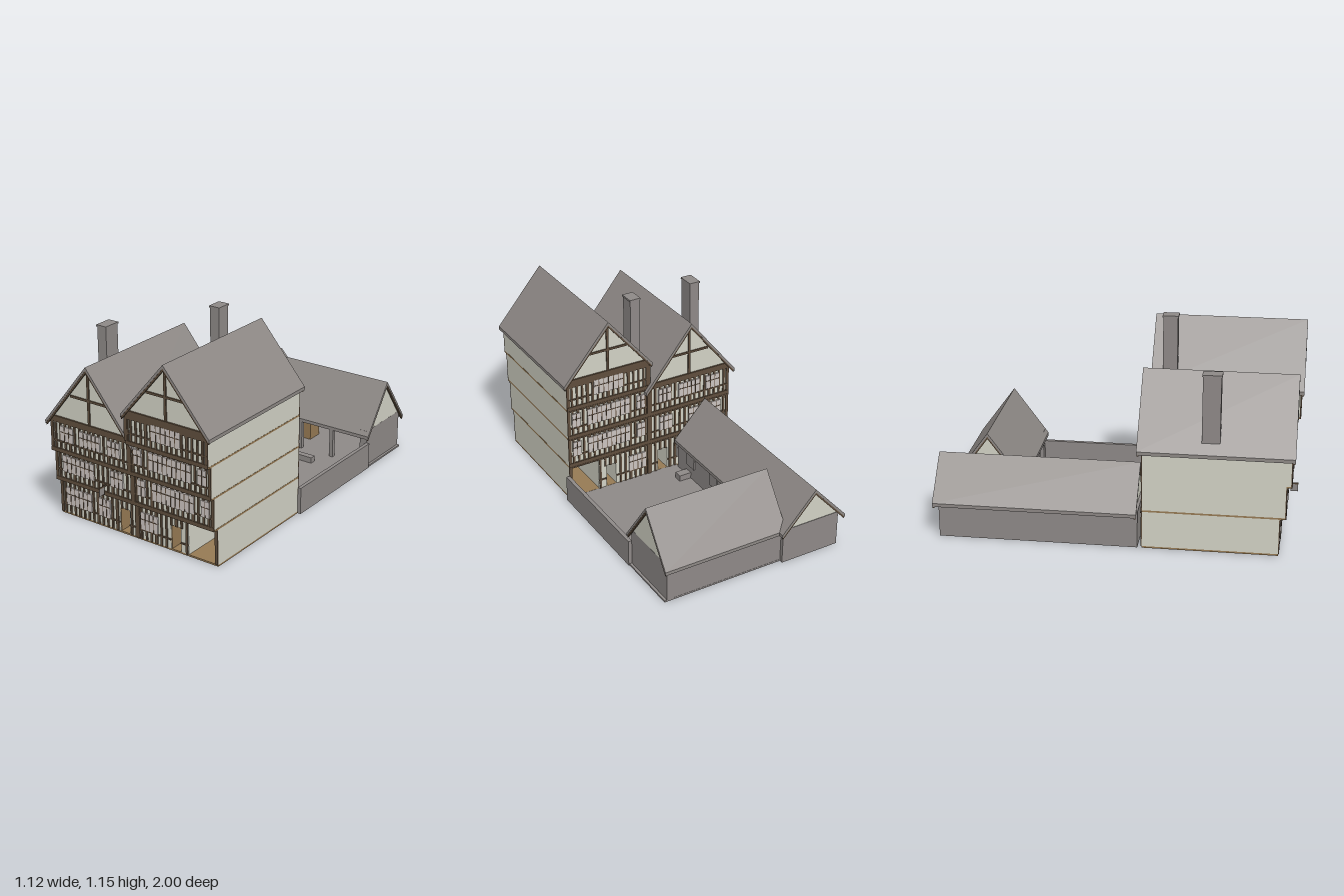
import * as THREE from 'three';

const mat = (name, color) => {
  const m = new THREE.MeshStandardMaterial({ color });
  m.name = name;
  return m;
};

export function createModel() {
  const plaster = mat('cream plaster', 0xd2d2c5);
  const stone = mat('grey stone', 0x8e8987);
  const tile = mat('grey roof tile', 0x8d8885);
  const beam = mat('dark timber', 0x5f4e3d);
  const wood = mat('brown wood', 0x967a54);
  const glass = mat('pale window', 0xcbc4c0);
  const model = new THREE.Group();

  const group = (name, parent = model) => {
    const g = new THREE.Group();
    g.name = name;
    parent.add(g);
    return g;
  };
  // Box given by its limits on each axis
  const box = (p, name, m, x0, x1, y0, y1, z0, z1) => {
    const mesh = new THREE.Mesh(new THREE.BoxGeometry(x1 - x0, y1 - y0, z1 - z0), m);
    mesh.position.set((x0 + x1) / 2, (y0 + y1) / 2, (z0 + z1) / 2);
    mesh.name = name;
    p.add(mesh);
  };
  const prism = (p, name, m, pts, z0, z1) => {
    const shape = new THREE.Shape(pts.map(([x, y]) => new THREE.Vector2(x, y)));
    const geo = new THREE.ExtrudeGeometry(shape, { depth: z1 - z0, bevelEnabled: false });
    const mesh = new THREE.Mesh(geo.translate(0, 0, z0), m);
    mesh.name = name;
    p.add(mesh);
  };
  const chevron = (p, name, m, x, half, ridge, eave, t, z0, z1) => prism(p, name, m, [
    [x - half, eave - t], [x, ridge - t], [x + half, eave - t],
    [x + half, eave], [x, ridge], [x - half, eave]], z0, z1);

  // Pitched roof with gable infill and dark bargeboards at both ends
  const roof = (p, x, half, ridge, eave, wallHalf, z0, z1, w0, w1) => {
    const t = 0.02, slope = (ridge - eave) / half;
    chevron(p, 'roof', tile, x, half, ridge, eave, t, z0, z1);
    for (const [a, b] of [[z0 + 0.002, z0 + 0.012], [z1 - 0.012, z1 - 0.002]])
      chevron(p, 'bargeboard', beam, x, half - 0.005, ridge - t, eave - t + 0.005 * slope, 0.014, a, b);
    const top = ridge - t, foot = top - slope * wallHalf;
    prism(p, 'gable', plaster, [[x - wallHalf, foot], [x + wallHalf, foot], [x, top]], w0, w1);
  };

  // ---------- Street houses ----------
  const houses = group('streetHouses');
  const BACK = 0.16;
  const fronts = [0.9, 0.93, 0.955, 0.98];
  const levels = [0.01, 0.225, 0.41, 0.595, 0.75];
  box(houses, 'base', wood, -0.535, 0.535, 0, 0.01, BACK, 0.9);

  // Ground floor with two through doorways and a cart passage
  for (const [a, b] of [[-0.535, -0.115], [-0.05, 0.23], [0.295, 0.345], [0.522, 0.535]])
    box(houses, 'groundFloorWall', plaster, a, b, 0.01, 0.215, BACK, 0.9);
  for (const [a, b, y] of [[-0.115, -0.05, 0.15], [0.23, 0.295, 0.15], [0.345, 0.522, 0.205]])
    box(houses, 'lintelWall', plaster, a, b, y, 0.215, BACK, 0.9);
  for (const [a, b] of [[-0.115, -0.05], [0.23, 0.295]]) {
    box(houses, 'frontDoorLeaf', wood, a, a + 0.004, 0.01, 0.149, 0.82, 0.898);
    box(houses, 'backDoorLeaf', wood, b - 0.004, b, 0.01, 0.149, BACK + 0.002, 0.24);
  }

  // Jettied upper floors with a brown sill under each
  for (let i = 1; i < 4; i++) {
    const x0 = i === 3 ? 0.01 : -0.535;
    box(houses, 'upperFloor', plaster, x0, 0.535, levels[i], levels[i + 1], BACK, fronts[i]);
    box(houses, 'jettySill', wood, x0, 0.536, levels[i] - 0.01, levels[i], BACK, fronts[i] + 0.002);
  }
  roof(houses, -0.26, 0.3, 0.945, 0.575, 0.272, 0.13, 0.975, BACK, 0.955);
  roof(houses, 0.272, 0.283, 1.087, 0.755, 0.262, 0.14, 1.0, BACK, 0.98);

  // Windows per floor: x0, x1, y0, y1, columns
  const small = (y0, y1) => [[0.04, 0.09, y0, y1, 2], [0.455, 0.507, y0, y1, 2]];
  const windows = [
    [[-0.49, -0.31, 0.065, 0.17, 6], [-0.257, -0.18, 0.065, 0.17, 3], [0.035, 0.145, 0.07, 0.17, 4]],
    [[-0.48, -0.26, 0.28, 0.375, 7], [-0.145, -0.06, 0.285, 0.375, 3], [0.14, 0.41, 0.28, 0.38, 9], ...small(0.285, 0.375)],
    [[-0.465, -0.375, 0.475, 0.56, 3], [-0.33, -0.19, 0.475, 0.56, 5], [-0.135, -0.055, 0.475, 0.56, 3],
      [0.14, 0.41, 0.465, 0.565, 9], ...small(0.475, 0.56)],
    [[0.18, 0.365, 0.65, 0.74, 6]],
  ];
  const rails = [0.065, 0.285, 0.467, 0.652];
  const openings = [[-0.115, -0.05, 0.15], [0.23, 0.295, 0.15], [0.345, 0.522, 0.205]];

  // Timber framing of one face; dir is +1 at the front, -1 at the back
  const facade = (name, zs, dir) => {
    const g = group(name, houses);
    const strip = (label, m, x0, x1, y0, y1, z, d = 0.007) =>
      box(g, label, m, x0, x1, y0, y1, dir > 0 ? z : z - d, dir > 0 ? z + d : z);
    for (let f = 0; f < 4; f++) {
      const z = zs[f], x0 = f === 3 ? 0.01 : -0.535;
      const yb = f ? levels[f] + 0.012 : 0.01, yt = levels[f + 1] - 0.012;
      const n = Math.round((0.535 - x0) / 0.0334);
      for (let i = 0; i <= n; i++) {
        const w = i % 4 ? 0.006 : 0.009;
        const x = THREE.MathUtils.clamp(x0 + (i * (0.535 - x0)) / n, x0 + w, 0.535 - w);
        const hole = f === 0 && openings.find(([a, b]) => x + w > a && x - w < b && x < 0.525);
        strip('stud', beam, x - w, x + w, hole ? hole[2] : yb, yt, z, 0.006);
      }
      // Mid rail, broken at the doorways
      const spans = f ? [[x0, 0.535]] : [[-0.535, -0.115], [-0.05, 0.23], [0.295, 0.345]];
      for (const [a, b] of spans) strip('midRail', beam, a, b, rails[f] - 0.004, rails[f] + 0.004, z, 0.0065);
      strip('floorBeam', beam, x0, 0.535, yt - 0.006, levels[f + 1] + (f < 3 ? -0.0095 : 0.002), z, 0.009);
      if (f) strip('bottomBeam', beam, x0, 0.535, levels[f] - 0.009, levels[f] + 0.014, z, 0.008);
      strip('partyPost', beam, 0.001, 0.022, yb, yt, z, 0.0085);
      for (const [a, b, c, d, cols] of windows[f]) {
        strip('window', glass, a, b, c, d, z, 0.0095);
        for (let i = 1; i < cols; i++) {
          const x = a + ((b - a) * i) / cols;
          strip('mullion', beam, x - 0.002, x + 0.002, c, d, z, 0.0115);
        }
        const ty = c + (d - c) * 0.6;
        strip('transom', beam, a, b, ty - 0.002, ty + 0.002, z, 0.0115);
      }
    }
    // Gable timbers
    strip('leftTieBeam', beam, -0.525, 0.01, 0.585, 0.612, zs[2], 0.01);
    strip('leftCollar', beam, -0.385, -0.135, 0.744, 0.756, zs[2]);
    strip('leftKingPost', beam, -0.267, -0.253, 0.612, 0.91, zs[2]);
    strip('rightTieBeam', beam, 0.015, 0.53, 0.752, 0.78, zs[3], 0.01);
    strip('rightCollar', beam, 0.15, 0.394, 0.904, 0.916, zs[3]);
    strip('rightKingPost', beam, 0.265, 0.279, 0.78, 1.05, zs[3]);
  };
  facade('frontFraming', fronts, 1);
  facade('backFraming', [BACK, BACK, BACK, BACK], -1);

  // Chimneys with flat caps
  for (const [x0, x1, z0, z1, y0, top] of [[-0.518, -0.457, 0.475, 0.573, 0.55, 1.01], [0.037, 0.097, 0.205, 0.287, 0.7, 1.15]]) {
    box(houses, 'chimney', stone, x0, x1, y0, top - 0.01, z0, z1);
    box(houses, 'chimneyCap', stone, x0 - 0.004, x1 + 0.004, top - 0.01, top, z0 - 0.004, z1 + 0.004);
  }
  // Hanging sign board
  box(houses, 'signBoard', stone, -0.183, -0.179, 0.23, 0.272, 0.95, 0.99);
  box(houses, 'signArm', beam, -0.184, -0.178, 0.272, 0.28, 0.93, 0.992);

  // ---------- Courtyard ----------
  const yard = group('courtyard');
  box(yard, 'yardFloor', stone, -0.18, 0.55, 0, 0.01, -0.95, BACK - 0.001);
  box(yard, 'yardWall', stone, 0.533, 0.555, 0, 0.157, -0.575, BACK - 0.001);
  box(yard, 'trough', stone, 0.135, 0.257, 0.01, 0.045, -0.45, -0.412);
  box(yard, 'mountingBlock', stone, -0.175, -0.1, 0.01, 0.047, -0.015, 0.035);

  // ---------- Long rear wing ----------
  const wing = group('longWing');
  box(wing, 'wingWalls', stone, -0.535, -0.175, 0, 0.21, -0.97, 0.135);
  roof(wing, -0.355, 0.205, 0.43, 0.205, 0.18, -1.0, 0.13, -0.97, 0.12);
  for (const z of [-0.02, -0.27, -0.5])
    box(wing, 'wingWindow', stone, -0.175, -0.167, 0.09, 0.165, z - 0.04, z + 0.04);

  // ---------- Cross wing: open front on posts ----------
  const cross = group('crossWing');
  box(cross, 'endWall', stone, 0.49, 0.535, 0, 0.23, -0.95, -0.575);
  box(cross, 'rearWall', stone, -0.175, 0.5, 0, 0.21, -0.949, -0.92);
  box(cross, 'loftFloor', stone, -0.175, 0.5, 0.19, 0.205, -0.93, -0.577);
  for (const x of [-0.14, 0.08, 0.3])
    box(cross, 'post', stone, x - 0.012, x + 0.012, 0.01, 0.2, -0.585, -0.561);
  for (let i = 0; i < 6; i++)
    box(cross, 'stairStep', wood, -0.115 + i * 0.03, -0.085 + i * 0.03, 0.01, 0.035 + i * 0.026, -0.8, -0.7);
  // Built along z, then turned so its ridge runs along x
  const crossRoof = group('crossRoof', cross);
  roof(crossRoof, 0, 0.206, 0.485, 0.205, 0.187, -0.195, 0.555, -0.175, 0.5345);
  crossRoof.rotation.y = Math.PI / 2;
  crossRoof.position.z = -0.763;

  return model;
}
